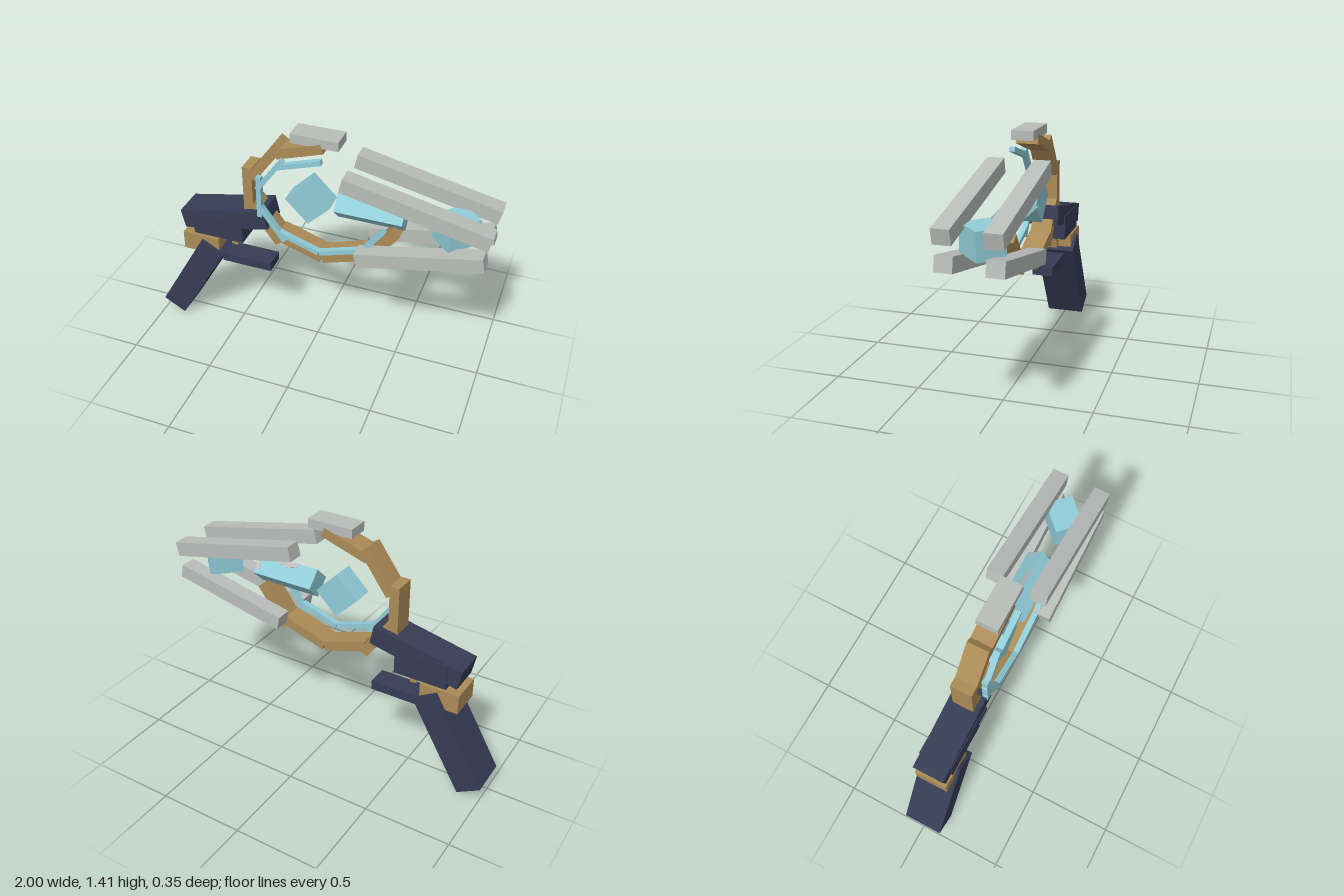
import * as THREE from 'three';

const mat = (name, color) => {
  const m = new THREE.MeshStandardMaterial({ color });
  m.name = name;
  return m;
};

export function createModel() {
  const model = new THREE.Group();
  model.name = 'ringBlaster';
  const navy = mat('navy', 0x363c55);
  const gold = mat('gold', 0xab8b57);
  const grey = mat('grey', 0xb9bdba);
  const cyan = mat('cyan', 0x90ccd8);
  const rad = THREE.MathUtils.degToRad;

  // Box from size, centre and rotation in degrees
  function box(name, material, size, pos, rot = [0, 0, 0], parent = model) {
    const mesh = new THREE.Mesh(new THREE.BoxGeometry(...size), material);
    mesh.name = name;
    mesh.position.set(...pos);
    mesh.rotation.set(...rot.map(rad));
    parent.add(mesh);
    return mesh;
  }

  // Handle, trigger and receiver
  box('grip', navy, [0.155, 0.616, 0.235], [-0.78, 0.31, 0], [0, 0, -30]);
  box('gripCollar', gold, [0.23, 0.115, 0.195], [-0.705, 0.578, 0]);
  box('trigger', gold, [0.038, 0.11, 0.063], [-0.507, 0.63, 0], [0, 0, -12]);
  box('triggerGuard', navy, [0.31, 0.056, 0.125], [-0.43, 0.488, 0]);
  box('receiver', navy, [0.542, 0.117, 0.185], [-0.548, 0.786, 0], [0, 0, 12]);
  box('receiverBlock', navy, [0.312, 0.148, 0.197], [-0.586, 0.726, 0]);

  // Open rings made of seven straight segments, from the top round to the right
  const angles = [18, 54, 90, -54, -18, 18, 54];
  function ring(name, material, size, z, centres) {
    const group = new THREE.Group();
    group.name = name;
    centres.forEach(([x, y], i) =>
      box(name + 'Segment', material, size, [x, y, z], [0, 0, angles[i]], group));
    model.add(group);
  }
  ring('outerRing', gold, [0.282, 0.057, 0.126], 0, [
    [-0.09, 1.315], [-0.289, 1.206], [-0.396, 1.01], [-0.297, 0.797],
    [-0.094, 0.685], [0.18, 0.685], [0.385, 0.805]]);
  ring('innerRing', cyan, [0.26, 0.029, 0.033], 0.085, [
    [-0.073, 1.257], [-0.247, 1.155], [-0.313, 0.999], [-0.243, 0.84],
    [-0.086, 0.746], [0.168, 0.746], [0.332, 0.84]]);
  box('topSight', grey, [0.272, 0.054, 0.126], [0, 1.39, 0]);

  // Crystals along the axis
  box('rearCrystal', cyan, [0.19, 0.18, 0.126], [-0.04, 0.998, 0], [0, 0, -45]);
  const core = box('coreCrystal', cyan, [0.385, 0.122, 0.122], [0.313, 1, 0], [45, 0, 0]);
  box('frontCrystal', cyan, [0.193, 0.153, 0.161], [0.78, 0.998, 0], [0, 45, 0]);

  // Pale glints on the upper back face of the core crystal
  const glint = new THREE.Shape();
  glint.absellipse(0, 0, 0.075, 0.035, Math.PI, Math.PI * 2);
  const corner = new THREE.Shape([[0, 0], [-0.04, 0], [0, 0.07]].map(p => new THREE.Vector2(...p)));
  [[glint, 0, 0.06], [corner, 0.192, -0.03]].forEach(([shape, x, y]) => {
    const geo = new THREE.ExtrudeGeometry(shape, { depth: 0.002, bevelEnabled: false, curveSegments: 10 });
    const mesh = new THREE.Mesh(geo, grey);
    mesh.name = 'crystalGlint';
    mesh.position.set(x, y, -0.063);
    core.add(mesh);
  });

  // Four converging rails
  for (const side of [-1, 1]) {
    box('upperRail', grey, [0.82, 0.085, 0.095], [0.587, 1.148, side * 0.129], [0, 0, -12.3]);
    box('lowerRail', grey, [0.705, 0.083, 0.095], [0.624, 0.848, side * 0.129], [0, 0, 12.3]);
  }
  return model;
}
